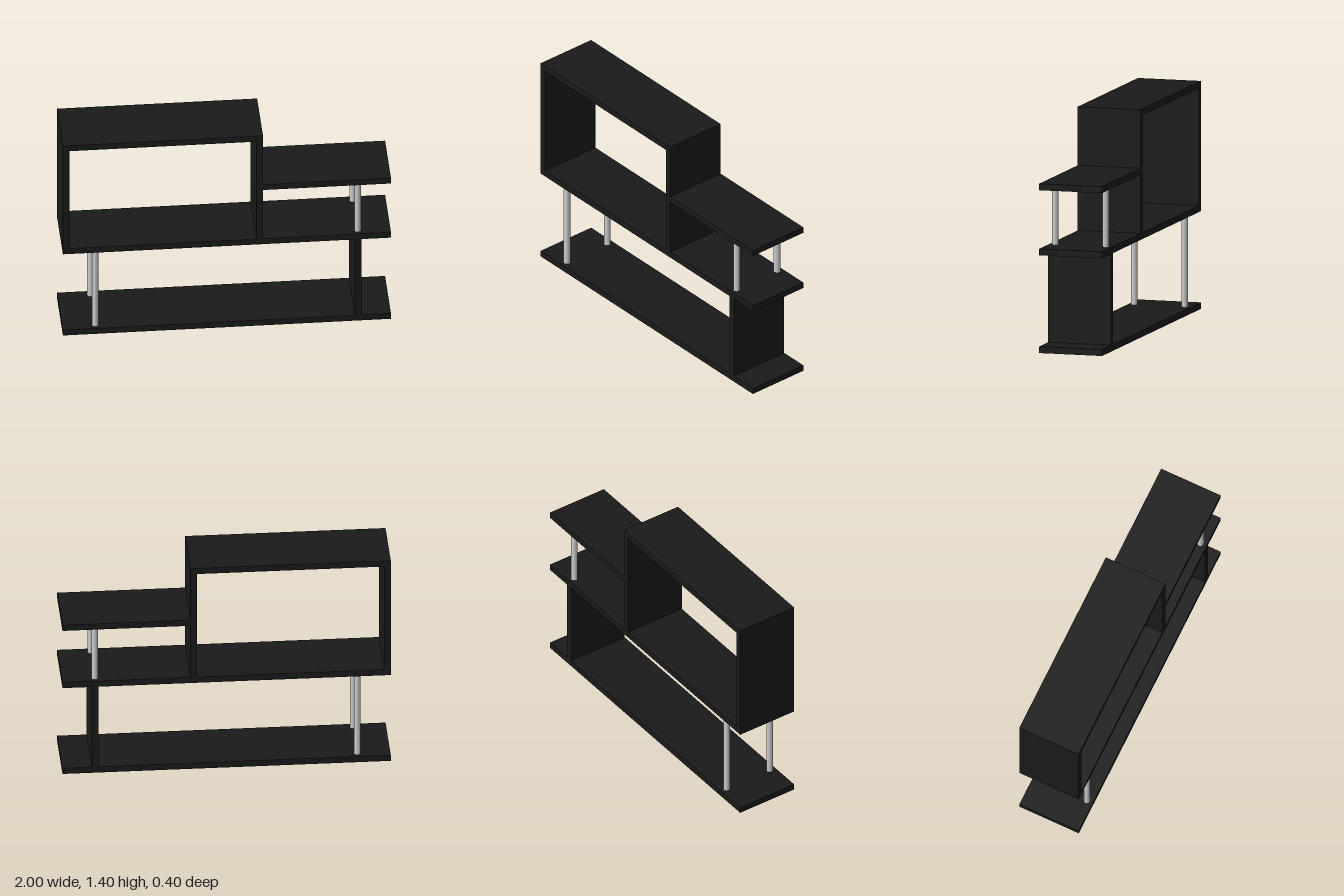
import * as THREE from 'three';

const DEPTH = 0.4;

export function createModel() {
  const group = new THREE.Group();
  const black = new THREE.MeshStandardMaterial({ color: 0x1a1a1a });
  const grey = new THREE.MeshStandardMaterial({ color: 0xcccccc });

  // Full-depth board spanning x0..x1 and y0..y1
  function board(name, x0, x1, y0, y1) {
    const mesh = new THREE.Mesh(new THREE.BoxGeometry(x1 - x0, y1 - y0, DEPTH), black);
    mesh.position.set((x0 + x1) / 2, (y0 + y1) / 2, 0);
    mesh.name = name;
    group.add(mesh);
  }

  // Front and back pair of round posts
  function postPair(name, x, y0, y1) {
    const pair = new THREE.Group();
    pair.name = name;
    for (const z of [0.16, -0.16]) {
      const post = new THREE.Mesh(new THREE.CylinderGeometry(0.02, 0.02, y1 - y0, 32), grey);
      post.position.set(x, (y0 + y1) / 2, z);
      post.name = z > 0 ? 'frontPost' : 'backPost';
      pair.add(post);
    }
    group.add(pair);
  }

  // Long shelves
  board('bottomShelf', -1, 1, 0, 0.04);
  board('middleShelf', -1, 1, 0.6, 0.64);

  // Tall open compartment
  board('outerWall', -1, -0.96, 0.64, 1.4);
  board('dividerWall', 0.18, 0.22, 0.64, 1.4);
  board('topShelf', -0.96, 0.18, 1.36, 1.4);

  // Short side shelf and lower support panel
  board('sideShelf', 0.22, 1, 1.0, 1.04);
  board('lowerSupport', 0.78, 0.82, 0.04, 0.6);

  // Metal posts
  postPair('lowerPosts', -0.8, 0.04, 0.6);
  postPair('upperPosts', 0.8, 0.64, 1.0);

  return group;
}
